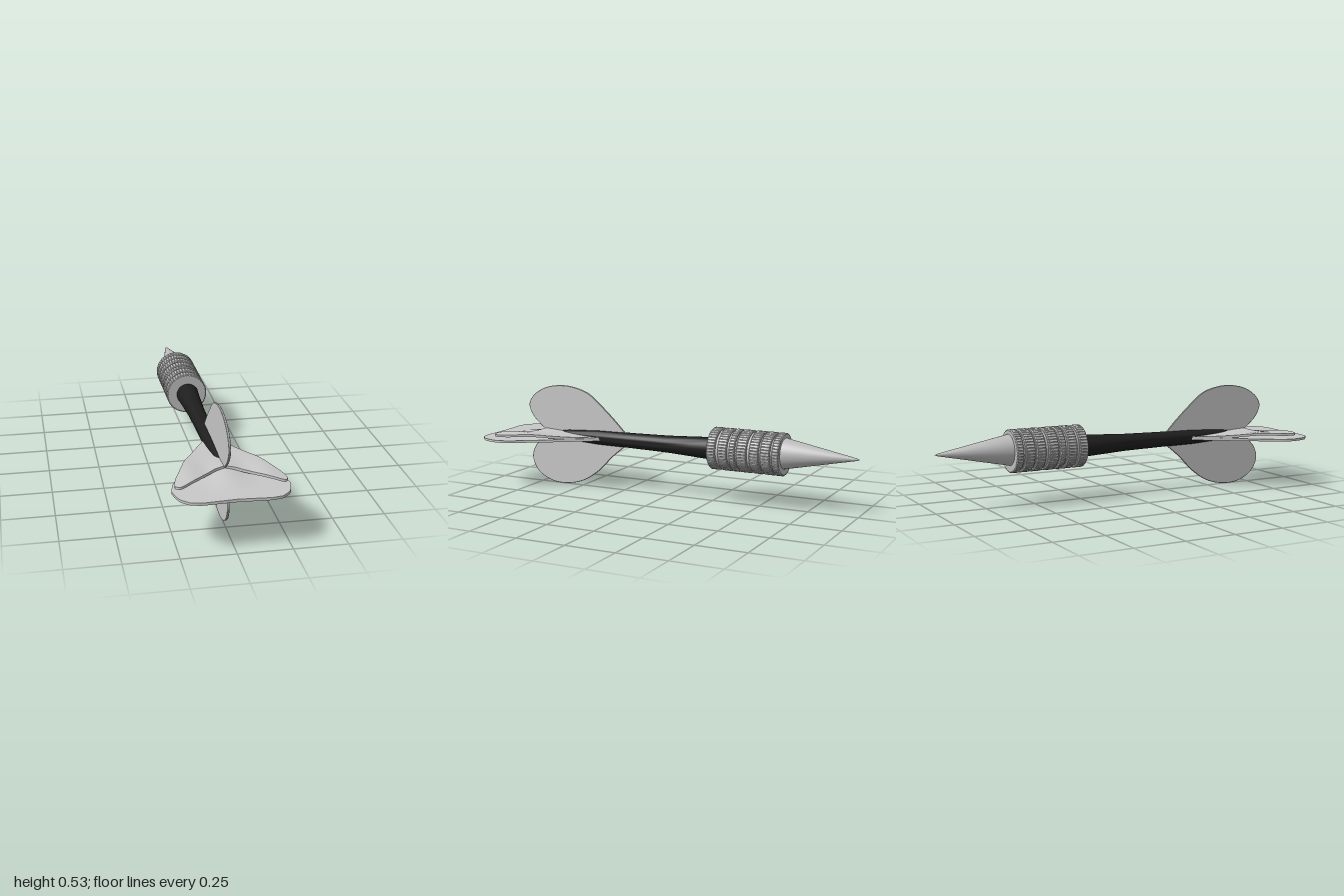
import * as THREE from 'three';
import { toCreasedNormals } from 'three/addons/utils/BufferGeometryUtils.js';

const AXIS = 0.27;

// Linear interpolation through [x, value] pairs
function sample(table, x) {
  for (let i = 1; i < table.length; i++) {
    const [x0, a] = table[i - 1], [x1, b] = table[i];
    if (x <= x1) return a + (b - a) * (x - x0) / (x1 - x0);
  }
  return table[table.length - 1][1];
}

export function createModel() {
  const model = new THREE.Group();
  const mat = (name, color) => {
    const m = new THREE.MeshStandardMaterial({ color });
    m.name = name;
    return m;
  };
  const metal = mat('steel grey', 0xbcbcbc);
  const flight = mat('pale grey', 0xc8c8c8);
  const black = mat('black', 0x1e1e1e);

  const add = (name, geometry, material, y = 0, parent = model) => {
    const mesh = new THREE.Mesh(geometry, material);
    mesh.name = name;
    mesh.position.y = y;
    parent.add(mesh);
    return mesh;
  };
  // Solid of revolution along z from [radius, z] pairs
  const turned = (pairs, sides) => toCreasedNormals(
    new THREE.LatheGeometry(pairs.map(p => new THREE.Vector2(...p)), sides).rotateX(Math.PI / 2), 0.6);

  // Pointed tip
  const tip = add('tip', turned([[0, -1], [0.006, -0.985], [0.078, -0.62], [0.078, -0.6]], 32), metal, AXIS);
  tip.rotation.x = 0.01;

  // Grip: core with knurled rings
  const grip = new THREE.Group();
  grip.name = 'grip';
  grip.position.set(-0.004, AXIS, 0);
  model.add(grip);
  add('gripCore', turned([[0, -0.625], [0.09, -0.625], [0.095, -0.62], [0.095, -0.265], [0.09, -0.256], [0, -0.256]], 40),
    metal, 0, grip);

  const teeth = 44, gear = new THREE.Shape();
  for (let i = 0; i < teeth; i++) {
    [[0, 0.098], [0.2, 0.101], [0.7, 0.101], [0.9, 0.098]].forEach(([f, r], k) => {
      const a = (i + f) / teeth * Math.PI * 2;
      gear[i + k === 0 ? 'moveTo' : 'lineTo'](r * Math.cos(a), r * Math.sin(a));
    });
  }
  const rings = [[-0.63, -0.595], [-0.586, -0.536], [-0.528, -0.48], [-0.466, -0.413],
    [-0.405, -0.374], [-0.364, -0.315], [-0.302, -0.255]];
  const bevel = 0.004;
  rings.forEach(([a, b], i) => {
    const g = new THREE.ExtrudeGeometry(gear, {
      depth: b - a - 2 * bevel, bevelEnabled: true, bevelThickness: bevel, bevelSize: bevel, bevelSegments: 1,
    });
    g.rotateZ(i * 0.05).translate(0, 0, a + bevel);
    add('gripRing' + (i + 1), g, metal, 0, grip);
  });

  // Tapered shaft
  add('shaft', turned([[0, -0.26], [0.057, -0.26], [0.05, -0.14], [0.043, 0], [0.039, 0.2],
    [0.037, 0.4], [0.027, 0.58], [0.004, 0.72]], 28), black, 0.267);

  // Upright fins, drawn as [z, y] outlines
  const upright = (name, pts) => {
    const curve = new THREE.CatmullRomCurve3(pts.map(([z, y]) => new THREE.Vector3(z, y, 0)));
    const shape = new THREE.Shape(curve.getPoints(48).map(p => new THREE.Vector2(p.x, p.y)));
    shape.lineTo(0.7, AXIS);
    shape.lineTo(0.26, AXIS);
    const g = new THREE.ExtrudeGeometry(shape, {
      depth: 0.006, bevelEnabled: true, bevelThickness: 0.002, bevelSize: 0.002, bevelOffset: -0.002, bevelSegments: 1,
    });
    g.translate(0, 0, -0.003).rotateY(-Math.PI / 2);
    add(name, g, flight);
  };
  upright('upperFin', [[0.235, 0.295], [0.3, 0.36], [0.38, 0.432], [0.46, 0.494], [0.54, 0.52], [0.62, 0.527],
    [0.72, 0.51], [0.8, 0.46], [0.825, 0.41], [0.8, 0.352], [0.75, 0.305], [0.72, 0.283]]);
  upright('lowerFin', [[0.235, 0.24], [0.32, 0.17], [0.4, 0.09], [0.5, 0.026], [0.61, 0.002], [0.7, 0.012],
    [0.78, 0.06], [0.81, 0.13], [0.79, 0.19], [0.75, 0.23], [0.72, 0.252]]);

  // Side fins: a slab fitted between leading and trailing edges, with varied height
  const sideFin = (name, halfWidth, lead, trail, height, thickness) => {
    const g = new THREE.BoxGeometry(2, 1, 1, 40, 1, 12);
    const p = g.attributes.position;
    for (let i = 0; i < p.count; i++) {
      const x = halfWidth * Math.sin(p.getX(i) * Math.PI / 2), ax = Math.abs(x);
      const z = THREE.MathUtils.lerp(sample(lead, ax), sample(trail, ax), p.getZ(i) + 0.5);
      const side = p.getY(i);
      p.setXYZ(i, x, height(ax, z, side) + side * thickness(ax), z);
    }
    add(name, toCreasedNormals(g, 0.7), flight);
  };
  const back = (z, a, b) => THREE.MathUtils.smoothstep(z, a, b);
  const thin = ax => 0.014 - 0.01 * ax;

  sideFin('lowerSideFins', 0.263,
    [[0, 0.34], [0.02, 0.35], [0.08, 0.45], [0.17, 0.62], [0.205, 0.71], [0.25, 0.8], [0.263, 0.855]],
    [[0, 0.987], [0.15, 0.996], [0.2, 0.987], [0.24, 0.95], [0.255, 0.91], [0.263, 0.87]],
    (ax, z, side) => {
      const bulge = Math.exp(-((ax / 0.08) ** 2)) * back(z, 0.4, 0.65) * (1 - back(z, 0.7, 0.98));
      return 0.262 - 0.011 * back(z, 0.4, 0.85) + (side > 0 ? 0.022 : -0.008) * bulge;
    }, thin);

  sideFin('upperSideFins', 0.25,
    [[0, 0.34], [0.02, 0.355], [0.08, 0.455], [0.17, 0.625], [0.2, 0.71], [0.24, 0.81], [0.25, 0.86]],
    [[0, 0.72], [0.05, 0.735], [0.1, 0.775], [0.14, 0.82], [0.18, 0.86], [0.21, 0.883], [0.235, 0.892], [0.25, 0.872]],
    (ax, z) => 0.266 + 0.016 * back(z, 0.38, 0.75) + 0.004 * Math.cos(ax * 36) * back(z, 0.5, 0.75),
    thin);

  return model;
}
